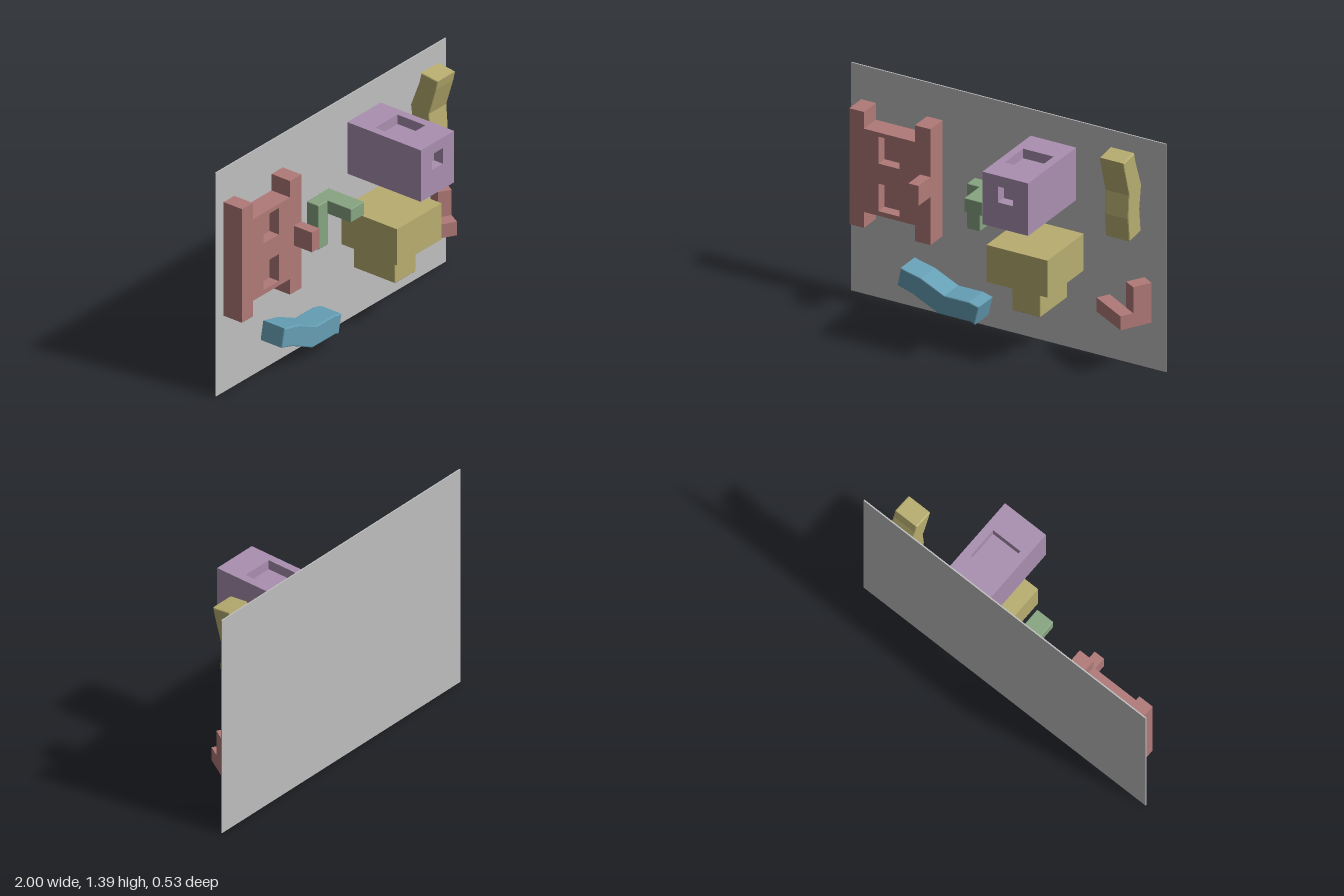
import * as THREE from 'three';
import { RoundedBoxGeometry } from 'three/addons/geometries/RoundedBoxGeometry.js';

const mat = (name, color) => {
  const m = new THREE.MeshStandardMaterial({ color });
  m.name = name;
  return m;
};

const WALL = -0.255; // front face of the board

export function createModel() {
  const model = new THREE.Group();
  model.name = 'climbingBoard';
  const grey = mat('grey', 0xbfbfbf), red = mat('dusty red', 0xb07a78), purple = mat('purple', 0xa98fb0);
  const yellow = mat('ochre', 0xb8ae70), green = mat('green', 0x87a581), blue = mat('blue', 0x659eb4);

  const group = (name) => {
    const g = new THREE.Group();
    g.name = name;
    model.add(g);
    return g;
  };
  const add = (parent, name, geo, material) => {
    const m = new THREE.Mesh(geo, material);
    m.name = name;
    parent.add(m);
    return m;
  };
  // Box given by its limits, optionally with rounded edges
  const box = (parent, name, material, [x0, x1], [y0, y1], [z0, z1], r = 0) => {
    const s = [x1 - x0, y1 - y0, z1 - z0];
    const geo = r ? new RoundedBoxGeometry(...s, 2, r) : new THREE.BoxGeometry(...s);
    geo.translate((x0 + x1) / 2, (y0 + y1) / 2, (z0 + z1) / 2);
    return add(parent, name, geo, material);
  };
  const outline = (pts, Type = THREE.Shape) => new Type(pts.map(([x, y]) => new THREE.Vector2(x, y)));
  const rect = (x0, x1, y0, y1) => [[x0, y0], [x1, y0], [x1, y1], [x0, y1]];
  const extrude = (pts, depth, holes = [], bevel = 0) => {
    const shape = outline(pts);
    holes.forEach((h) => shape.holes.push(outline(h, THREE.Path)));
    const geo = new THREE.ExtrudeGeometry(shape, {
      depth: depth - 2 * bevel, bevelEnabled: bevel > 0, bevelThickness: bevel,
      bevelSize: bevel, bevelOffset: -bevel, bevelSegments: 2,
    });
    return geo.translate(0, 0, bevel);
  };

  // Back board
  box(model, 'board', grey, [-1, 1], [0, 1.39], [-0.263, WALL]);

  // Large frame hold with two shallow pockets and a peg
  const frame = group('frameHold');
  const framePts = [
    [-0.935, 0.475], [-0.842, 0.475], [-0.842, 0.572], [-0.518, 0.572], [-0.518, 0.475], [-0.42, 0.475],
    [-0.42, 1.182], [-0.518, 1.182], [-0.518, 1.08], [-0.842, 1.08], [-0.842, 1.182], [-0.935, 1.182],
  ];
  const pockets = [rect(-0.75, -0.615, 0.89, 1.055), rect(-0.75, -0.615, 0.6, 0.768)];
  add(frame, 'frameBack', extrude(framePts, 0.065), red).position.z = WALL;
  add(frame, 'frameFront', extrude(framePts, 0.065, pockets), red).position.z = WALL + 0.065;
  box(frame, 'peg', red, [-0.485, -0.42], [0.768, 0.89], [-0.13, 0.003]);

  // Small hook hold
  const hook = group('hookHold');
  box(hook, 'hookPost', green, [-0.215, -0.13], [0.61, 0.885], [WALL, -0.17], 0.006);
  box(hook, 'hookArm', green, [-0.135, -0.02], [0.802, 0.885], [WALL, -0.006], 0.004);

  // Deep block with a pocket in the front and one in the top
  const block = group('deepBlock');
  box(block, 'blockBase', purple, [0.14, 0.43], [0.908, 1.17], [WALL, 0.2]);
  const lid = extrude(rect(0.14, 0.43, -0.2, -WALL), 0.058, [rect(0.187, 0.38, -0.1, 0.095)]);
  add(block, 'blockTop', lid.rotateX(-Math.PI / 2), purple).position.y = 1.17;
  const face = extrude(rect(0.14, 0.43, 0.908, 1.228), 0.063, [rect(0.238, 0.332, 1.065, 1.162)]);
  add(block, 'blockFront', face, purple).position.z = 0.2;

  // Stepped hold: wide block over a narrow one
  const stepped = group('steppedHold');
  box(stepped, 'wideBlock', yellow, [0.09, 0.477], [0.49, 0.715], [WALL, 0.136]);
  box(stepped, 'narrowBlock', yellow, [0.195, 0.375], [0.3, 0.5], [WALL, 0.037], 0.006);

  // Upright wavy bar, its side profile as [-z, y]
  const upright = extrude([
    [0.13, 0.81], [0.25, 0.826], [0.235, 0.963], [0.255, 1.107], [0.195, 1.266],
    [0.18, 1.329], [0.063, 1.314], [0.075, 1.258], [0.125, 1.092], [0.115, 0.952],
  ], 0.155, [], 0.007);
  add(model, 'uprightBar', upright.rotateY(Math.PI / 2), yellow).position.x = 0.69;

  // Lying wavy bar
  const lying = extrude([
    [-0.617, 0.192], [-0.519, 0.162], [-0.353, 0.083], [-0.15, 0.083], [-0.124, 0.072],
    [-0.097, 0.187], [-0.16, 0.203], [-0.315, 0.203], [-0.465, 0.273], [-0.594, 0.304],
  ], 0.155, [], 0.007);
  add(model, 'lyingBar', lying, blue).position.z = WALL;

  // Turned corner hold, footprints as [x, -z]
  const corner = group('cornerHold');
  const prism = (name, pts, height) =>
    add(corner, name, extrude(pts, height).rotateX(-Math.PI / 2), red).position.y = 0.303;
  prism('cornerArm', [[0.603, 0.18], [0.835, 0.045], [0.875, 0.115], [0.645, 0.252]], 0.085);
  prism('cornerTower', [[0.805, 0.155], [0.875, 0.115], [0.933, 0.213], [0.864, 0.255]], 0.243);

  return model;
}
